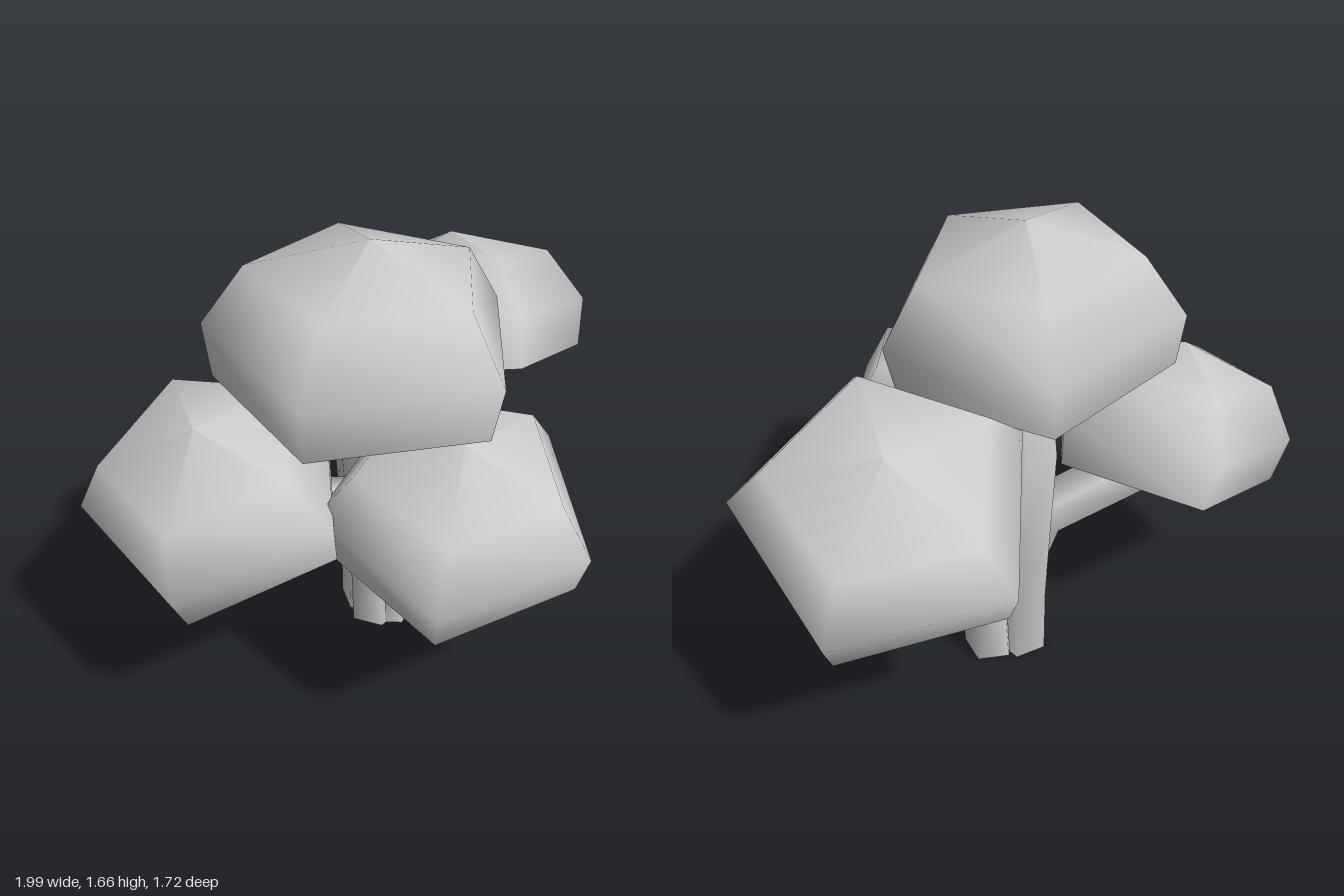
import * as THREE from 'three';

const material = new THREE.MeshStandardMaterial({ color: 0xcccccc });

// Five-sided dome with a flat underside, tilted along the given axis
function createCanopy(name, base, axis, spin, scale) {
  const profile = [[0.5, 0], [0.53, 0.19], [0.39, 0.4], [0, 0.51]]
    .map(([r, y]) => new THREE.Vector2(r, y));
  const dome = new THREE.Mesh(new THREE.LatheGeometry(profile, 5), material);
  dome.name = name + 'Dome';

  const disc = new THREE.CircleGeometry(0.5, 5, Math.PI / 2).rotateX(Math.PI / 2);
  const underside = new THREE.Mesh(disc, material);
  underside.name = name + 'Underside';

  const canopy = new THREE.Group();
  canopy.name = name;
  canopy.add(dome, underside);
  canopy.position.set(...base);
  canopy.quaternion.setFromUnitVectors(
    new THREE.Vector3(0, 1, 0), new THREE.Vector3(...axis).normalize());
  canopy.rotateY(THREE.MathUtils.degToRad(spin));
  canopy.scale.setScalar(scale);
  return canopy;
}

// Five-sided stem with one ring at every bend and a closed foot
function createStem(name, path, radius = 0.1) {
  const curve = new THREE.CatmullRomCurve3(
    path.map((p) => new THREE.Vector3(...p)), false, 'catmullrom', 0.5);
  curve.getPointAt = (t, target) => curve.getPoint(t, target);
  curve.getTangentAt = (t, target) => curve.getTangent(t, target);
  const tube = new THREE.TubeGeometry(curve, path.length - 1, radius, 5);

  // Level the lowest ring on the ground and fill it
  const pos = tube.attributes.position;
  const ring = [];
  for (let i = 0; i < 6; i++) {
    pos.setY(i, 0);
    if (i < 5) ring.push(new THREE.Vector2(pos.getX(i), pos.getZ(i)));
  }
  const footShape = new THREE.ShapeGeometry(new THREE.Shape(ring)).rotateX(Math.PI / 2);

  const stem = new THREE.Group();
  stem.name = name;
  const shaft = new THREE.Mesh(tube, material);
  shaft.name = name + 'Shaft';
  const foot = new THREE.Mesh(footShape, material);
  foot.name = name + 'Foot';
  stem.add(shaft, foot);
  return stem;
}

export function createModel() {
  const tree = new THREE.Group();
  tree.name = 'tree';

  // Canopies
  tree.add(
    createCanopy('topCanopy', [-0.04, 1.15, 0.15], [0.037, 1, 0], 35, 1),
    createCanopy('backCanopy', [0.5, 0.87, -0.39], [0.02, 0.925, -0.38], 8, 0.94),
    createCanopy('rightCanopy', [-0.505, 0.68, 0.1], [-0.24, 0.95, 0.22], 41, 0.89),
    createCanopy('frontCanopy', [0.197, 0.66, 0.41], [-0.03, 0.976, 0.215], 46, 0.88),
  );

  // Stems, from the ground up into each canopy
  tree.add(
    createStem('topStem',
      [[0.04, 0, -0.1], [0.04, 0.3, -0.11], [0.03, 0.6, -0.13], [0, 0.9, -0.08], [0, 1.2, 0.09]]),
    createStem('backStem',
      [[0.16, 0, -0.1], [0.17, 0.25, -0.1], [0.27, 0.6, -0.1], [0.4, 0.83, -0.25], [0.5, 0.94, -0.42]]),
    createStem('rightStem',
      [[0.05, 0, -0.01], [0.04, 0.3, -0.01], [-0.06, 0.56, 0], [-0.4, 0.67, 0.06], [-0.52, 0.75, 0.1]]),
    createStem('frontStem',
      [[0.1, 0, 0], [0.1, 0.27, 0], [0.12, 0.5, 0.11], [0.17, 0.62, 0.4], [0.2, 0.73, 0.5]]),
  );
  return tree;
}
